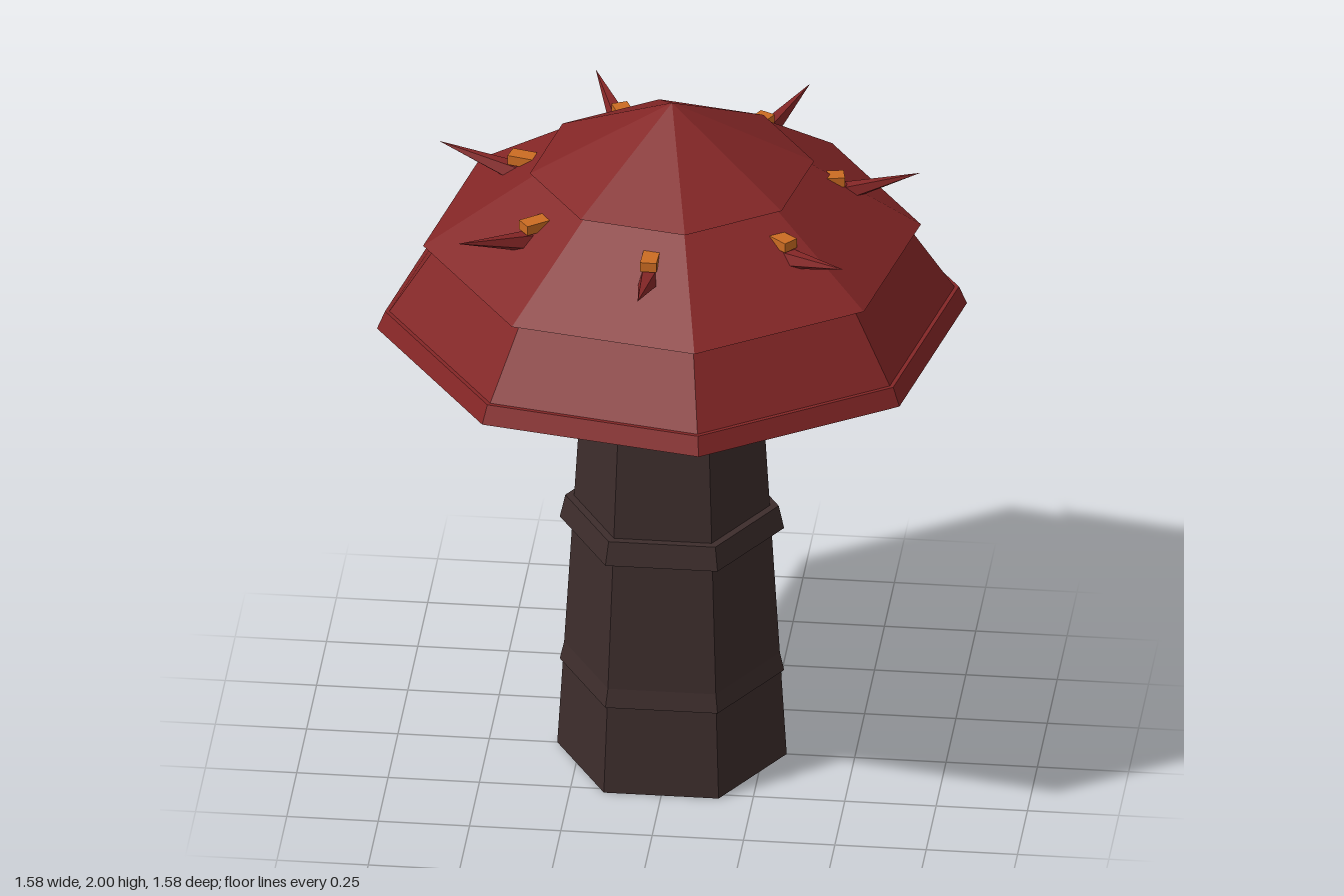
import * as THREE from 'three';

const capRed = new THREE.MeshStandardMaterial({ color: 0x842626 });
capRed.name = 'cap red';
const stemBrown = new THREE.MeshStandardMaterial({ color: 0x3d2d2c });
stemBrown.name = 'stem brown';
const wartOrange = new THREE.MeshStandardMaterial({ color: 0xcc6c22 });
wartOrange.name = 'wart orange';

// Faceted mesh: split the corners so every face keeps its own normal
function facetedMesh(name, geometry, material) {
  const flat = geometry.toNonIndexed();
  flat.computeVertexNormals();
  const mesh = new THREE.Mesh(flat, material);
  mesh.name = name;
  return mesh;
}

// Upright tapered prism between heights y0 and y1
function frustum(name, r0, y0, r1, y1, sides, turn, material) {
  const geometry = r1 > 0
    ? new THREE.CylinderGeometry(r1, r0, y1 - y0, sides, 1, false, turn)
    : new THREE.ConeGeometry(r0, y1 - y0, sides, 1, false, turn);
  geometry.translate(0, (y0 + y1) / 2, 0);
  return facetedMesh(name, geometry, material);
}

function createStem() {
  const stem = new THREE.Group();
  stem.name = 'stem';
  const turn = Math.PI / 6;
  stem.add(frustum('stalk', 0.314, 0, 0.23, 1.4, 6, turn, stemBrown));
  // Three flared collars
  for (const y of [0.26, 0.7, 1.14]) {
    stem.add(frustum('collar', 0.307, y, 0.292, y + 0.068, 6, turn, stemBrown));
  }
  return stem;
}

function createCap() {
  const cap = new THREE.Group();
  cap.name = 'cap';
  const turn = 0.198;
  const layers = [
    ['gillPlate', 0.64, 1.315, 0.58, 1.36],
    ['rim', 0.806, 1.34, 0.784, 1.392],
    ['lowerTier', 0.803, 1.345, 0.635, 1.6],
    ['middleTier', 0.68, 1.59, 0.36, 1.805],
    ['topTier', 0.388, 1.8, 0, 2],
  ];
  for (const [name, r0, y0, r1, y1] of layers) {
    cap.add(frustum(name, r0, y0, r1, y1, 8, turn, capRed));
  }
  return cap;
}

// Orange wart with a thorn just outside it, pointing along local +z
function createThorn() {
  const unit = new THREE.Group();
  unit.name = 'thornUnit';
  const wart = facetedMesh('wart', new THREE.BoxGeometry(0.045, 0.028, 0.075), wartOrange);
  wart.position.set(0, 1.743, 0.433);
  const spike = new THREE.ConeGeometry(0.032, 0.24, 5);
  spike.translate(0, 0.12, 0);
  const thorn = facetedMesh('thorn', spike, capRed);
  thorn.position.set(0, 1.695, 0.445);
  thorn.rotation.x = Math.PI / 2 - 0.235;
  unit.add(wart, thorn);
  return unit;
}

export function createModel() {
  const model = new THREE.Group();
  model.name = 'mushroom';
  model.add(createStem(), createCap());
  // Ring of seven thorns around the middle tier
  for (let i = 0; i < 7; i++) {
    const unit = createThorn();
    unit.rotation.y = (i / 7) * Math.PI * 2 - 0.03;
    model.add(unit);
  }
  return model;
}
